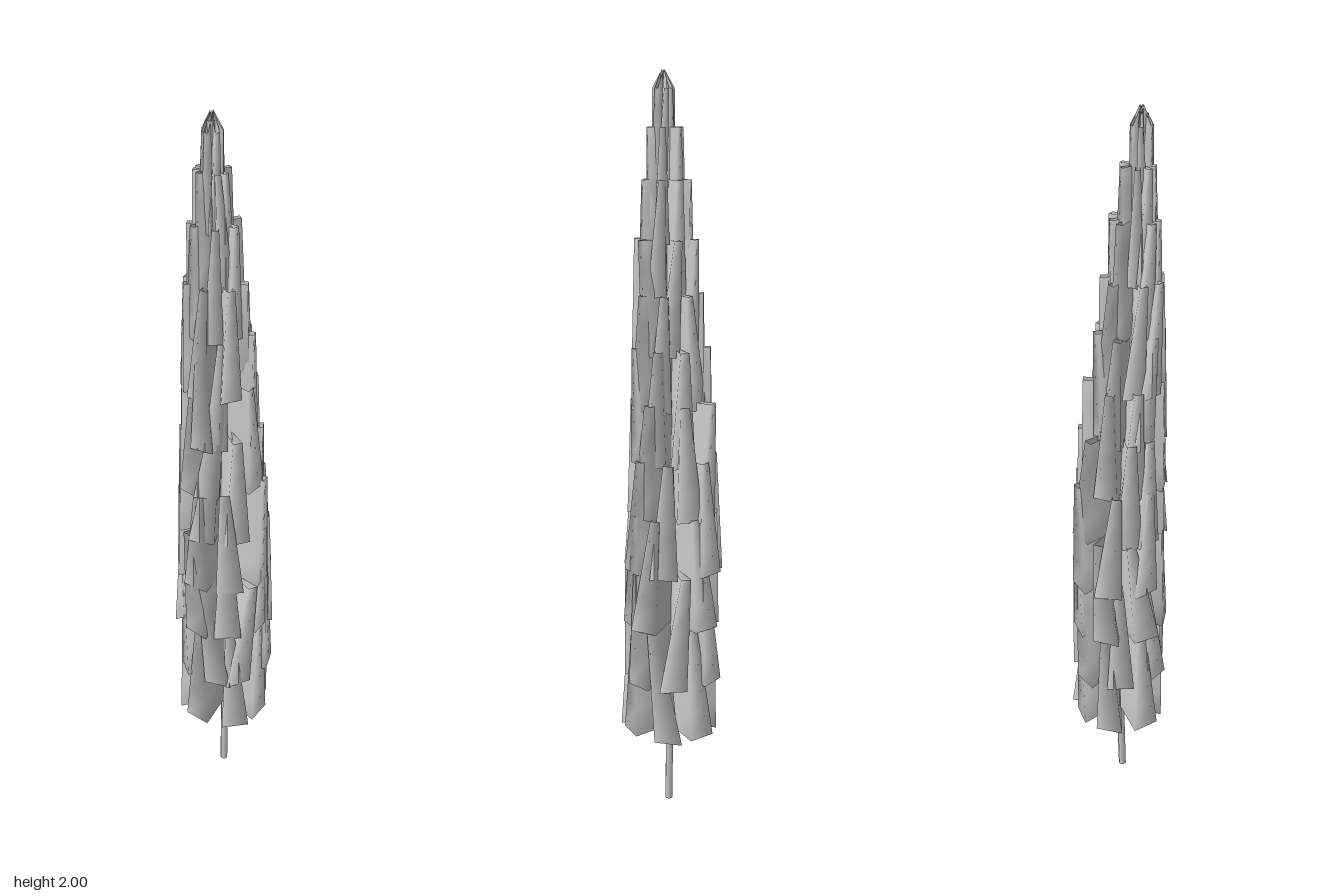
import * as THREE from 'three';

const grey = new THREE.MeshStandardMaterial({ color: 0xcccccc, side: THREE.DoubleSide });

// gently swaying centre line of the tree
const axis = new THREE.CatmullRomCurve3([
  [0.004, 0, 0.012], [0.004, 0.3, 0.005], [0, 0.7, 0], [-0.006, 1.05, 0.005],
  [-0.006, 1.35, 0.028], [-0.007, 1.65, 0.042], [-0.008, 1.98, 0.06],
].map(p => new THREE.Vector3(...p)));
const samples = axis.getPoints(100);
const centreAt = y => samples.find(p => p.y >= y) || samples[100];

// small seeded generator
function seeded(seed) {
  return () => (seed = (seed * 16807) % 2147483647) / 2147483647;
}

// foliage spray: a sheet folded from the trunk out to the rim, across it and back,
// narrowing upward and leaning sideways by skew; smooth over the folds
function spray({ bottom, top, reach, width, angle, skew, drop }) {
  const geo = new THREE.PlaneGeometry(3, 1, 3, 4);
  const pos = geo.attributes.position;
  const base = centreAt((bottom + top) / 2);
  for (let i = 0; i < pos.count; i++) {
    const column = Math.round(pos.getX(i) + 1.5);
    const t = pos.getY(i) + 0.5;
    const outer = column === 1 || column === 2;
    const side = column < 2 ? 0.5 : -0.5;
    const r = outer ? reach * (1 - 0.05 * t) : 0.003;
    const w = outer ? side * width * (1 - 0.65 * t) + skew * (2 * t - 1) : side * 0.006;
    const y = THREE.MathUtils.lerp(bottom, outer ? top - drop : top, t);
    pos.setXYZ(i,
      base.x + Math.cos(angle) * r - Math.sin(angle) * w, y,
      base.z + Math.sin(angle) * r + Math.cos(angle) * w);
  }
  geo.computeVertexNormals();
  const mesh = new THREE.Mesh(geo, grey);
  mesh.name = 'foliageSpray';
  return mesh;
}

export function createModel() {
  const tree = new THREE.Group();
  tree.name = 'slenderTree';
  const random = seeded(4127);

  // trunk
  const trunk = new THREE.Mesh(new THREE.TubeGeometry(axis, 16, 0.011, 6), grey);
  trunk.name = 'trunk';
  tree.add(trunk);

  // overlapping foliage tiers: top height and reach of each
  const tiers = [
    [0.55, 0.126], [0.70, 0.124], [0.86, 0.126], [1.01, 0.125], [1.16, 0.117], [1.30, 0.107],
    [1.44, 0.095], [1.58, 0.086], [1.73, 0.069], [1.86, 0.049], [2.0, 0.028],
  ];
  tiers.forEach(([top, reach], i) => {
    const tier = new THREE.Group();
    tier.name = 'foliageTier' + (i + 1);
    const count = 7;
    for (let k = 0; k < count; k++) {
      tier.add(spray({
        bottom: top - 0.32 + 0.003 * i,
        top,
        reach: reach * (0.95 + random() * 0.1),
        width: 0.02 + reach * 0.45,
        angle: (k + (random() - 0.5) * 0.5) / count * Math.PI * 2 + i * 2.4,
        skew: (random() - 0.5) * reach * 0.4,
        drop: i === tiers.length - 1 ? 0.045 : 0,
      }));
    }
    tree.add(tier);
  });
  return tree;
}
